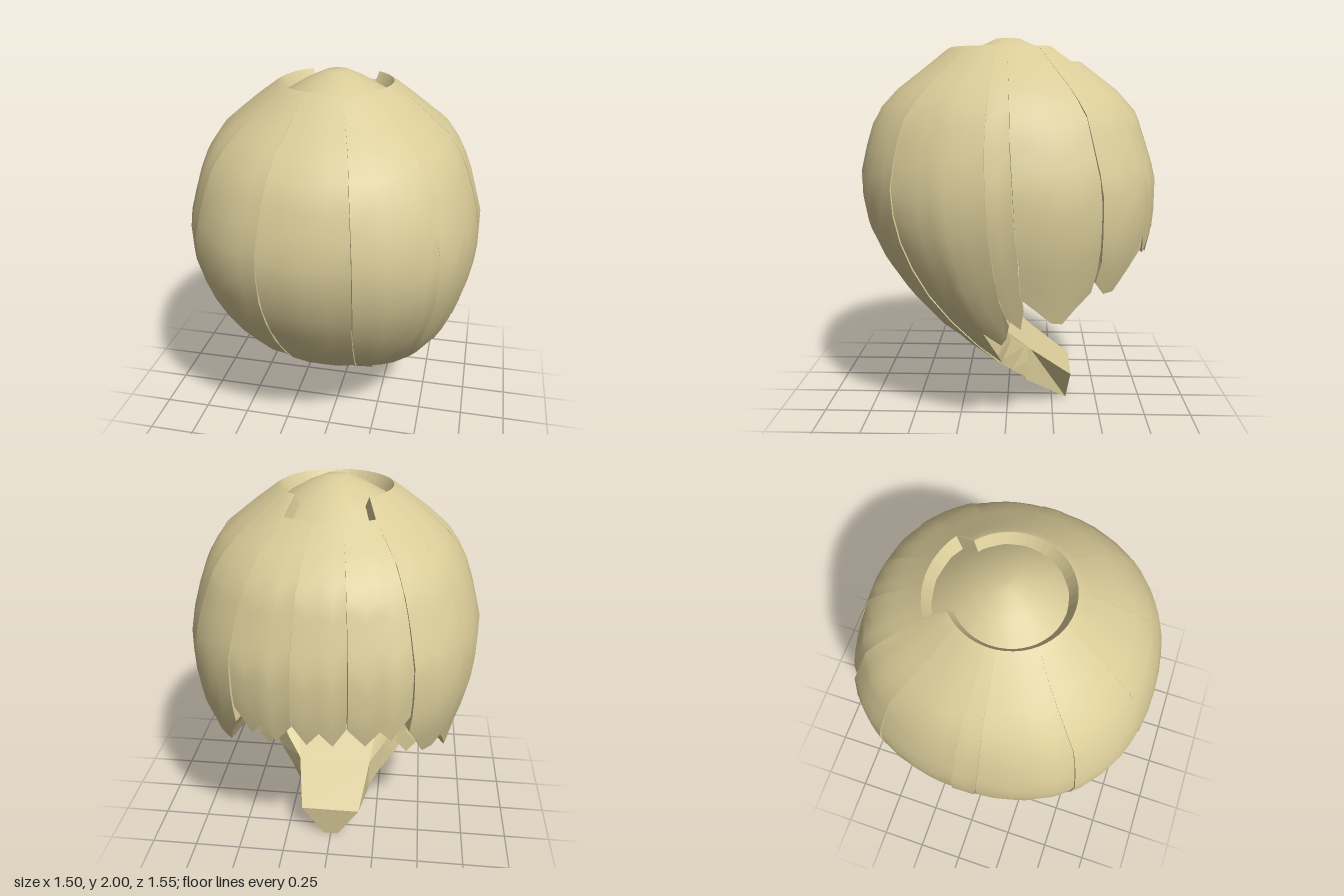
import * as THREE from 'three';
import { mergeGeometries } from 'three/addons/utils/BufferGeometryUtils.js';

const material = new THREE.MeshStandardMaterial({ color: 0xd9cb98 });
const { lerp, clamp, degToRad } = THREE.MathUtils;

// Shell cross-sections: height, half width, centre z, half depth
const SECTIONS = [
  [1.96, 0.26, 0.01, 0.27], [1.94, 0.3, 0.01, 0.31], [1.86, 0.41, 0.01, 0.41], [1.73, 0.57, 0.01, 0.58],
  [1.62, 0.645, 0.01, 0.68], [1.5, 0.69, 0.01, 0.72], [1.3, 0.745, 0, 0.775],
  [1.1, 0.745, -0.01, 0.765], [0.95, 0.72, -0.03, 0.73], [0.8, 0.68, -0.04, 0.66],
  [0.65, 0.64, -0.08, 0.585], [0.5, 0.59, -0.18, 0.55], [0.36, 0.5, -0.17, 0.33],
  [0.2, 0.4, -0.2, 0.12], [0.1, 0.35, -0.3, 0.1],
];

// Panels of one side: jagged hem as [degrees from front, height]
const FRONT = [[-17, 0.17], [0, 0.12], [17, 0.17]];
const BACK = [[170, 1.03], [175, 0.92], [180, 1.0], [185, 0.92], [190, 1.03]];
const SIDES = [
  [[17, 0.27], [29, 0.18], [44, 0.33], [49, 0.45]],
  [[49, 0.46], [55, 0.36], [60, 0.42], [65, 0.57], [70, 0.51], [77, 0.56], [84, 0.64]],
  [[84, 0.68], [88, 0.62], [93, 0.72]],
  [[93, 0.78], [104, 0.65], [109, 0.64], [124, 0.79]],
  [[124, 0.84], [130, 0.77], [136, 0.77], [147, 0.97]],
  [[147, 1.06], [153, 0.93], [158, 1.0], [163, 0.91], [170, 1.02]],
];

// Point on the outer (depth 0) or inner (depth 1) skin of the shell
function shellPoint(deg, y, depth, raise) {
  let i = 0;
  while (i < SECTIONS.length - 2 && SECTIONS[i + 1][0] > y) i++;
  const a = SECTIONS[i], b = SECTIONS[i + 1];
  const k = (y - a[0]) / (b[0] - a[0]);
  const [w, c, d] = [1, 2, 3].map((n) => lerp(a[n], b[n], k));
  const r = degToRad(deg);
  // Slightly squared plan around the middle
  const square = 1 + 0.045 * Math.sin(2 * r) ** 2 * Math.sin(Math.PI * clamp((y - 0.55) / 1.3, 0, 1));
  const lift = y > 1.3 ? -0.11 * (y - 1.3) : 0.11 * (1.3 - y);
  const inset = depth * (y > 1.3 ? 0.08 - 0.06 * (y - 1.3) : 0.08) - raise;
  return new THREE.Vector3(
    (w * square - inset) * Math.sin(r), y + depth * lift, c + (d * square - inset) * Math.cos(r));
}

// Surface through rows of points, rows running down, columns to the right
function surface(rows, flat = false) {
  const n = rows[0].length, index = [];
  for (let i = 0; i < rows.length - 1; i++) {
    for (let j = 0; j < n - 1; j++) {
      const a = i * n + j, c = a + n;
      index.push(a, c, a + 1, a + 1, c, c + 1);
    }
  }
  let g = new THREE.BufferGeometry().setFromPoints(rows.flat());
  g.setIndex(index);
  g = flat ? g.toNonIndexed() : g;
  g.computeVertexNormals();
  return flat ? g : g.toNonIndexed();
}

// One solid panel from the crown opening to its pointed hem
function panelGeometry(hem, raise) {
  const columns = [];
  hem.forEach(([deg, y], i) => {
    if (i > 0) {
      const [pd, py] = hem[i - 1];
      const steps = Math.ceil((deg - pd) / 9);
      for (let s = 1; s < steps; s++) columns.push([lerp(pd, deg, s / steps), lerp(py, y, s / steps)]);
    }
    columns.push([deg, y]);
  });
  const middle = (hem[0][0] + hem[hem.length - 1][0]) / 2;
  const skin = (depth) => {
    const rows = [];
    for (let i = 0; i <= 16; i++) {
      const t = i / 16;
      rows.push(columns.map(([deg, low]) => {
        // The crown opening flares into a notch at the back
        const top = Math.abs(Math.abs(deg) - 180) < 34 ? 1.875 : 1.95;
        const y = lerp(low, top, Math.cos(t * Math.PI / 2));
        // Neighbouring panels part slightly towards the hem
        const angle = middle + (deg - middle) * (1 - 0.02 * t * t);
        return shellPoint(angle, y, depth, raise * t);
      }));
    }
    return rows;
  };
  const outer = skin(0), inner = skin(1), last = columns.length - 1;
  return mergeGeometries([
    surface(outer),
    surface(inner.map((row) => [...row].reverse())),
    surface([outer[16], inner[16]], true),
    surface([inner[0], outer[0]], true),
    surface(outer.map((row, i) => [row[last], inner[i][last]]), true),
    surface(outer.map((row, i) => [inner[i][0], row[0]]), true),
  ]);
}

// Thick tongue lining the front panel and running down and back to a point
function tongueGeometry() {
  // lower half width, lower y, z, then upper half width, y, z
  const rows = [
    [0.2, 0.4, 0.14, 0.24, 0.56, 0.12], [0.2, 0.17, -0.11, 0.2, 0.35, -0.13],
    [0.04, 0, -0.33, 0.16, 0.19, -0.35],
  ].map(([lw, ly, lz, uw, uy, uz]) => [
    [-lw, ly, lz], [lw, ly, lz], [uw, uy, uz], [-uw, uy, uz], [-lw, ly, lz],
  ].map((p) => new THREE.Vector3(...p)));
  const [a, , e] = rows;
  return mergeGeometries([
    surface(rows, true),
    surface([[e[0], e[1]], [e[3], e[2]]], true),
    surface([[a[3], a[2]], [a[0], a[1]]], true),
  ]);
}

export function createModel() {
  const model = new THREE.Group();
  const add = (name, geometry) => {
    const mesh = new THREE.Mesh(geometry, material);
    mesh.name = name;
    model.add(mesh);
  };

  add('frontPanel', panelGeometry(FRONT, 0));
  add('backPanel', panelGeometry(BACK, 0.005));
  SIDES.forEach((hem, i) => {
    const raise = i % 2 ? 0 : 0.006;
    add('leftPanel' + (i + 1), panelGeometry(hem, raise));
    const mirrored = hem.map(([deg, y]) => [-deg, y]).reverse();
    add('rightPanel' + (i + 1), panelGeometry(mirrored, raise));
  });
  add('frontTongue', tongueGeometry());

  // Domed crown set into the top opening
  const crown = [[0.44, 1.73], [0.27, 1.885], [0.15, 1.955], [0.06, 1.995], [0, 2]]
    .map(([x, y]) => new THREE.Vector2(x, y));
  add('crown', new THREE.LatheGeometry(crown, 16));
  return model;
}
